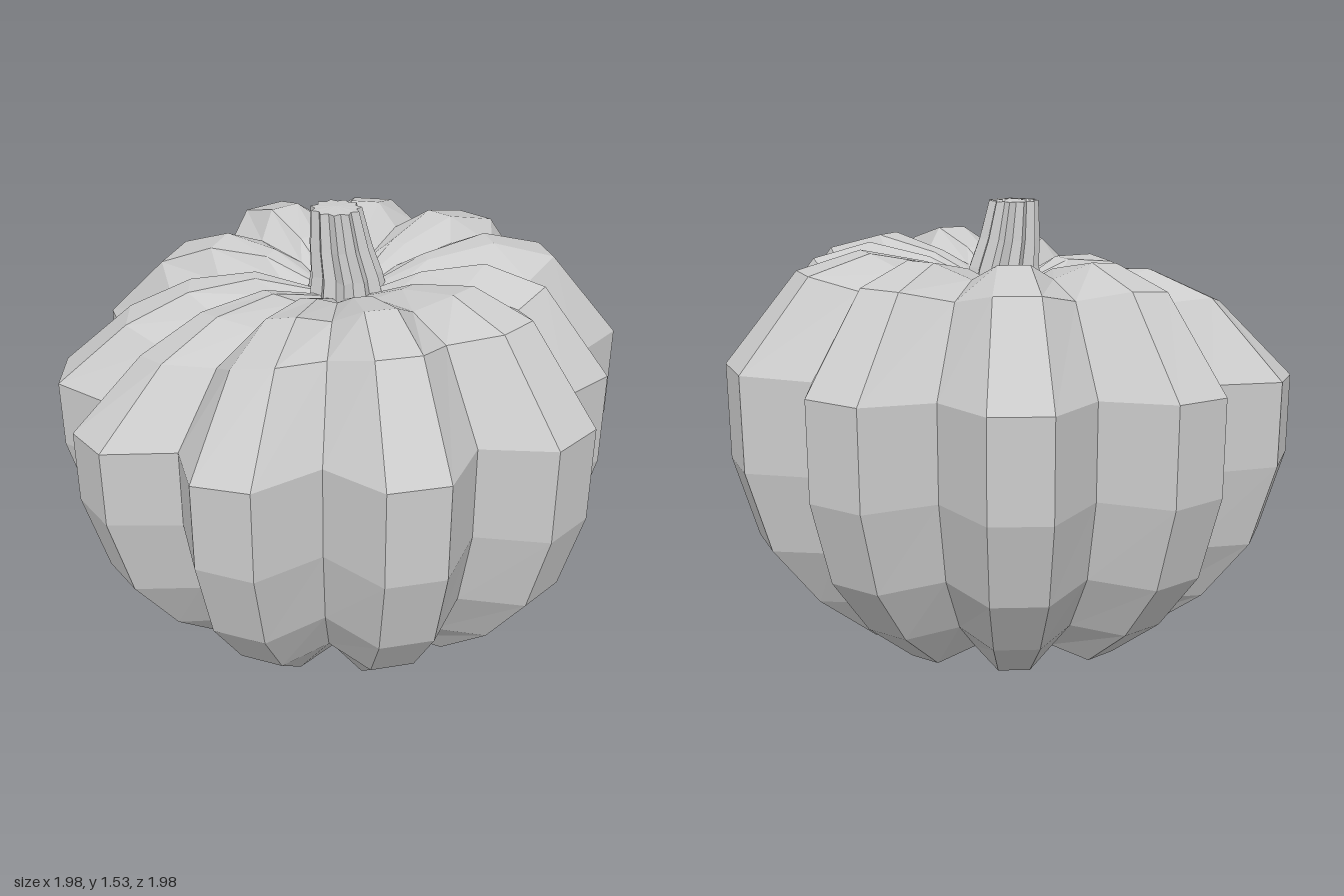
import * as THREE from 'three';

const material = new THREE.MeshStandardMaterial({ color: 0xcccccc, flatShading: true });

// Skin a stack of closed rings, listed bottom to top; point(ring, k) gives a corner.
function loft(name, rings, segments, point) {
  const positions = [], index = [];
  rings.forEach((ring, i) => {
    for (let k = 0; k < segments; k++) {
      positions.push(...point(ring, k));
      if (i === rings.length - 1) continue;
      const a = i * segments + k, b = i * segments + (k + 1) % segments;
      index.push(a, b, b + segments, a, b + segments, a + segments);
    }
  });
  const geometry = new THREE.BufferGeometry();
  geometry.setAttribute('position', new THREE.Float32BufferAttribute(positions, 3));
  geometry.setIndex(index);
  geometry.computeVertexNormals();
  const mesh = new THREE.Mesh(geometry, material);
  mesh.name = name;
  return mesh;
}

// Ribbed body: two crest corners between grooves, with one narrow rib
function createBody() {
  const segments = 32;
  const grooves = new Set([0, 3, 6, 8, 11, 14, 17, 20, 23, 26, 29]);
  const narrowRib = 7;
  const lowSide = THREE.MathUtils.degToRad(-75);
  // crest radius, groove radius, crest height, groove height, sag on the low side
  const rings = [
    [0.002, 0.002, 0.18, 0.18, 0],
    [0.28, 0.2, 0.06, 0.1, 0],
    [0.55, 0.45, 0, 0.035, -0.03],
    [0.76, 0.63, 0.18, 0.19, 0],
    [0.92, 0.77, 0.4, 0.41, 0],
    [1.0, 0.83, 0.69, 0.69, 0],
    [1.0, 0.83, 1.02, 1.01, 0.09],
    [0.75, 0.64, 1.32, 1.28, 0.18],
    [0.53, 0.45, 1.38, 1.32, 0.13],
    [0.3, 0.22, 1.33, 1.28, 0.04],
    [0.1, 0.09, 1.24, 1.22, 0],
  ];
  return loft('pumpkinBody', rings, segments, ([rc, rg, yc, yg, sag], k) => {
    const t = (k / segments) * Math.PI * 2;
    const groove = grooves.has(k);
    const r = groove ? rg : rc * (k === narrowRib ? 0.93 : 1);
    const y = (groove ? yg : yc) - sag * Math.max(0, Math.cos(t - lowSide)) ** 2;
    return [r * Math.sin(t), y, r * Math.cos(t)];
  });
}

// Fluted stem, tapering and leaning slightly to one side, closed on top
function createStem() {
  const segments = 22;
  // radius, height, sideways shift
  const rings = [
    [0.145, 1.2, 0.02],
    [0.125, 1.3, 0.015],
    [0.108, 1.4, -0.005],
    [0.088, 1.53, -0.02],
    [0.001, 1.535, -0.02],
  ];
  return loft('stem', rings, segments, ([radius, y, shift], k) => {
    const t = (k / segments) * Math.PI * 2;
    const r = radius * (k % 2 ? 0.8 : 1);
    return [shift + r * Math.sin(t), y, r * Math.cos(t)];
  });
}

export function createModel() {
  const group = new THREE.Group();
  group.name = 'pumpkin';
  group.add(createBody(), createStem());
  return group;
}
